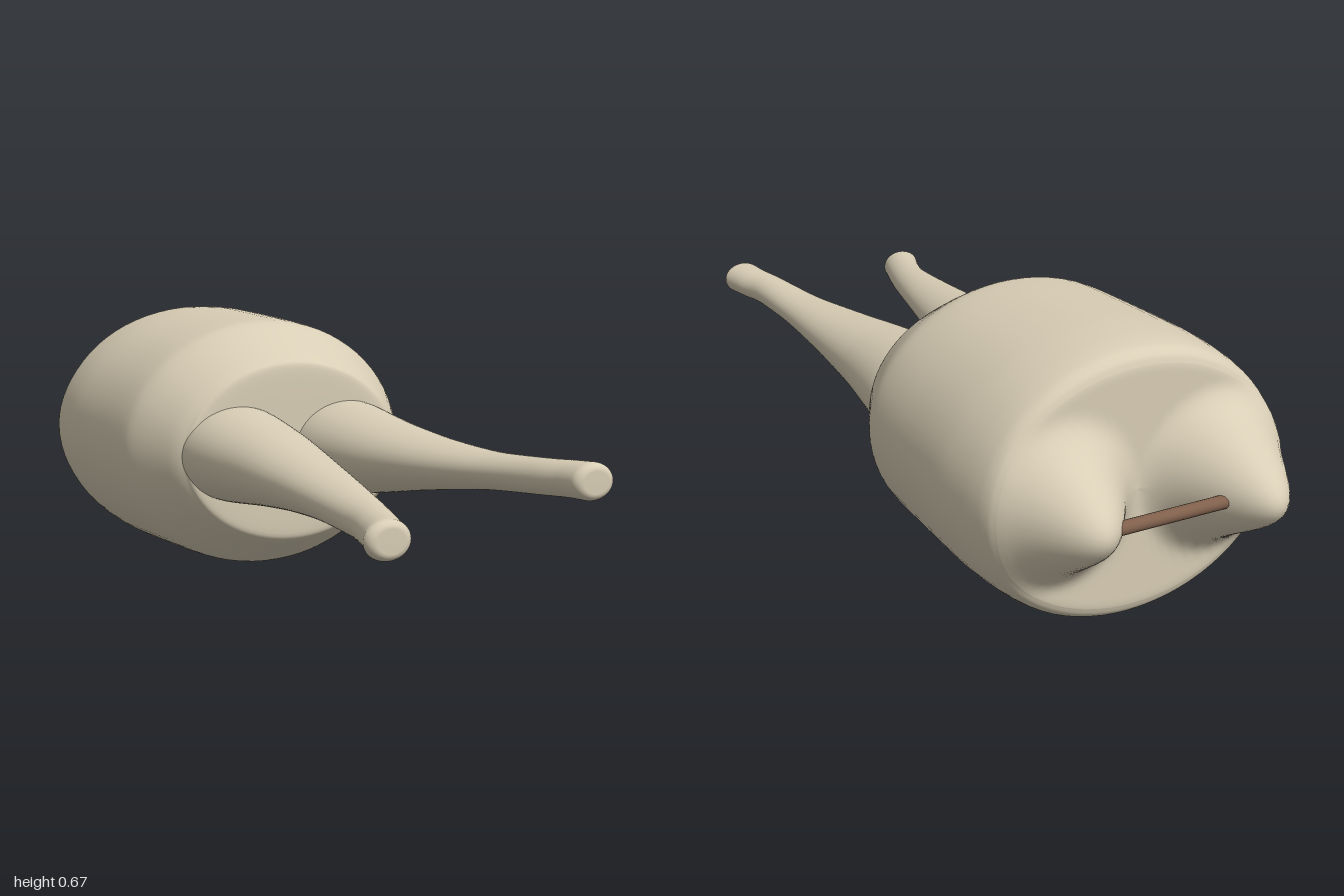
import * as THREE from 'three';

const SEGMENTS = 72;
const MID_Y = 0.338;

// Skin a list of elliptical rings { x, y, z, rx, ry } ordered from back to front.
function loft(rings, offsetZ = () => 0) {
  const positions = [];
  const index = [];
  rings.forEach((r, i) => {
    for (let j = 0; j < SEGMENTS; j++) {
      const a = (j / SEGMENTS) * Math.PI * 2;
      const x = r.x + r.rx * Math.cos(a);
      const y = r.y + r.ry * Math.sin(a);
      positions.push(x, y, r.z + offsetZ(x, y, r));
      if (i === rings.length - 1) continue;
      const k = (j + 1) % SEGMENTS;
      const p = i * SEGMENTS + j, q = i * SEGMENTS + k;
      index.push(p, q, q + SEGMENTS, p, q + SEGMENTS, p + SEGMENTS);
    }
  });
  const geometry = new THREE.BufferGeometry();
  geometry.setAttribute('position', new THREE.Float32BufferAttribute(positions, 3));
  geometry.setIndex(index);
  geometry.computeVertexNormals();
  return geometry;
}

// Smoothly interpolate sections [x, y, z, rx, ry] into many rings.
function smoothRings(sections, steps) {
  const spline = (pick) => new THREE.CatmullRomCurve3(
    sections.map((s) => new THREE.Vector3(...pick(s))), false, 'catmullrom', 0.4);
  const centre = spline((s) => [s[0], s[1], s[2]]);
  const radius = spline((s) => [s[3], s[4], 0]);
  return Array.from({ length: steps + 1 }, (_, i) => {
    const c = centre.getPoint(i / steps);
    const r = radius.getPoint(i / steps);
    return { x: c.x, y: c.y, z: c.z, rx: Math.max(r.x, 0), ry: Math.max(r.y, 0) };
  });
}

// Two rounded cusps rising from the biting surface.
function cuspHeight(x, y) {
  const bump = (cx, height, reach) => {
    const d = Math.min(Math.hypot(x - cx, y - MID_Y) / reach, 1);
    return height * 0.5 * (1 + Math.cos(Math.PI * d));
  };
  return bump(-0.21, 0.238, 0.215) + bump(0.205, 0.193, 0.215);
}

function crownGeometry() {
  const cap = [];
  const capRings = 28;
  for (let i = 0; i < capRings; i++) {
    const t = i / capRings;
    cap.push({ x: 0, y: MID_Y, z: -0.758, rx: 0.372 * t, ry: 0.288 * t, cap: 1 });
  }
  const side = smoothRings([
    [0, MID_Y, -0.757, 0.372, 0.288],
    [0, MID_Y, -0.748, 0.384, 0.308],
    [0, MID_Y, -0.725, 0.393, 0.324],
    [0, MID_Y, -0.67, 0.402, 0.333],
    [0, MID_Y, -0.57, 0.409, 0.337],
    [0, MID_Y, -0.4, 0.404, 0.333],
    [0, MID_Y, -0.24, 0.397, 0.327],
    [0, MID_Y, -0.18, 0.384, 0.316],
    [0, MID_Y, -0.07, 0.33, 0.257],
    [0, MID_Y, -0.035, 0.303, 0.236],
    [0, MID_Y, -0.022, 0.28, 0.215],
    [0, MID_Y, -0.02, 0.15, 0.115],
    [0, MID_Y, -0.02, 0, 0],
  ], 60);
  // The cusps fade out just below the rim.
  return loft([...cap, ...side], (x, y, r) => {
    const fade = r.cap ? 1 : THREE.MathUtils.clamp((-r.z - 0.6) / 0.15, 0, 1);
    return -cuspHeight(x, y) * fade;
  });
}

// A tapering root whose last section is closed by a rounded tip.
function rootGeometry(sections) {
  const rings = smoothRings(sections, 40);
  const end = rings[rings.length - 1];
  for (let i = 1; i <= 8; i++) {
    const a = (i / 8) * Math.PI / 2;
    const s = 0.6 + 0.4 * Math.cos(a);
    rings.push({ ...end, z: end.z + 0.022 * Math.sin(a), rx: end.rx * s, ry: end.ry * s });
  }
  rings.push({ ...rings[rings.length - 1], rx: 0, ry: 0 });
  return loft(rings);
}

export function createModel() {
  const enamel = new THREE.MeshStandardMaterial({ color: 0xd8cdb5 });
  enamel.name = 'enamel';
  const brown = new THREE.MeshStandardMaterial({ color: 0x80604c });
  brown.name = 'brown';

  const model = new THREE.Group();
  model.name = 'tooth';
  const add = (name, geometry, material) => {
    const mesh = new THREE.Mesh(geometry, material);
    mesh.name = name;
    model.add(mesh);
    return mesh;
  };

  add('crown', crownGeometry(), enamel);

  add('rightRoot', rootGeometry([
    [-0.155, 0.34, -0.1, 0.15, 0.121],
    [-0.155, 0.34, 0, 0.149, 0.12],
    [-0.16, 0.338, 0.2, 0.125, 0.095],
    [-0.175, 0.333, 0.4, 0.1, 0.07],
    [-0.198, 0.327, 0.6, 0.077, 0.052],
    [-0.227, 0.317, 0.8, 0.055, 0.044],
    [-0.253, 0.312, 0.9, 0.052, 0.043],
    [-0.278, 0.311, 0.973, 0.054, 0.044],
  ]), enamel);

  add('leftRoot', rootGeometry([
    [0.155, 0.34, -0.1, 0.15, 0.121],
    [0.155, 0.34, 0, 0.149, 0.12],
    [0.158, 0.345, 0.2, 0.122, 0.092],
    [0.178, 0.353, 0.4, 0.093, 0.064],
    [0.207, 0.363, 0.6, 0.063, 0.045],
    [0.235, 0.374, 0.78, 0.048, 0.042],
    [0.255, 0.378, 0.85, 0.05, 0.042],
    [0.266, 0.38, 0.905, 0.054, 0.043],
  ]), enamel);

  // Thin rod joining the two cusps.
  const rod = add('rod', new THREE.CylinderGeometry(0.016, 0.016, 0.36, 20), brown);
  rod.rotation.z = Math.PI / 2;
  rod.position.set(0, MID_Y, -0.905);

  return model;
}
